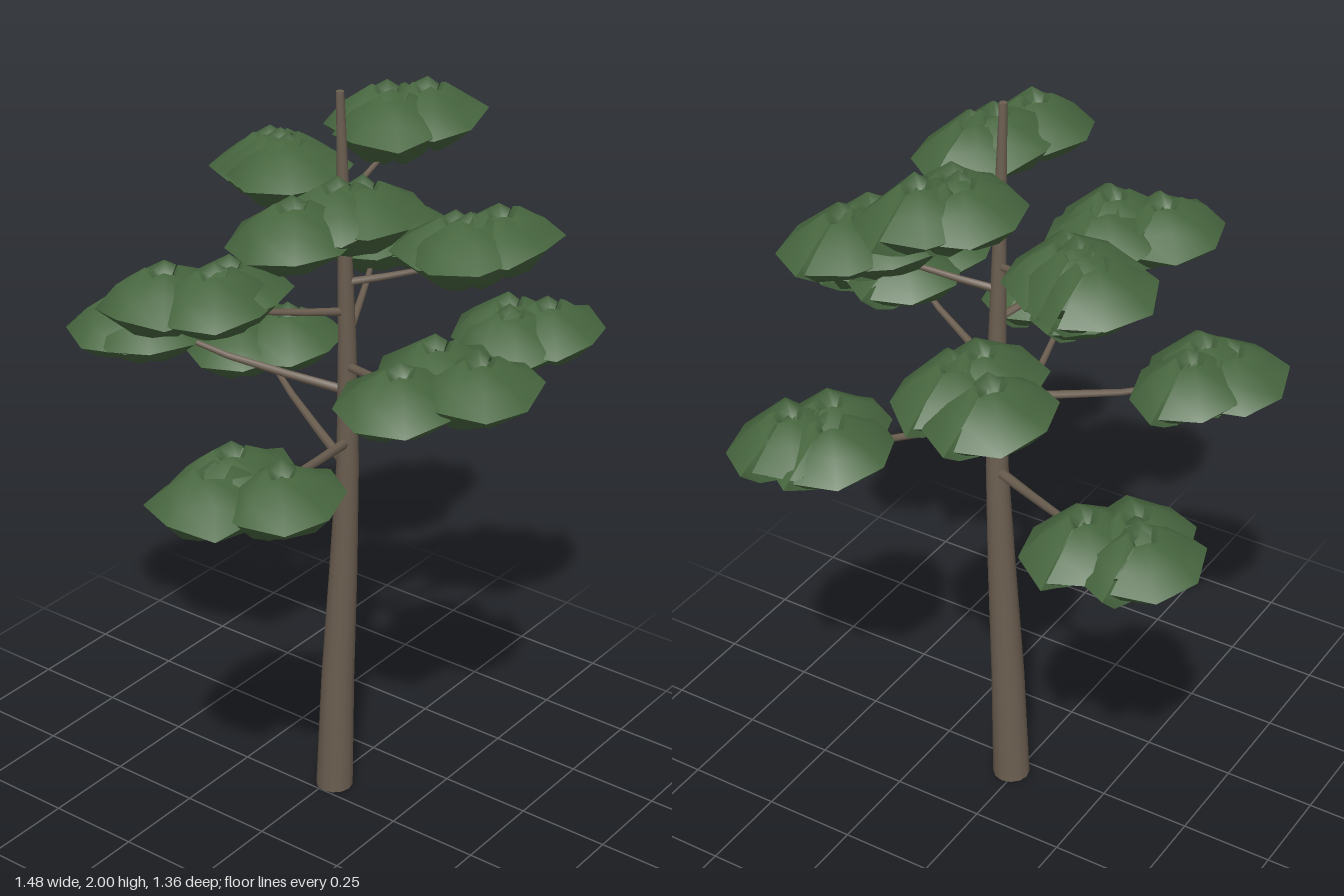
import * as THREE from 'three';

const bark = new THREE.MeshStandardMaterial({ color: 0x6b5e50 });
bark.name = 'bark';
const needles = new THREE.MeshStandardMaterial({ color: 0x47663f, side: THREE.DoubleSide });
needles.name = 'needle green';

let seed = 11;
const rand = () => (seed = (seed * 16807) % 2147483647) / 2147483647;
const jitter = (a) => (rand() * 2 - 1) * a;

// Centre line of the gently leaning trunk: [x, y, z, radius]
const TRUNK = [
  [0.05, 0, 0.015, 0.05], [0.05, 0.35, 0.025, 0.044], [0.052, 0.68, 0.04, 0.037],
  [0.048, 1, 0.055, 0.029], [0.036, 1.35, 0.06, 0.023], [0.022, 1.7, 0.058, 0.016], [0.01, 2, 0.055, 0.01],
];

// Clumps from bottom to top: height, then the x, z of each tuft
const CLUMPS = [
  { y: 1.105, tufts: [[0.27, -0.47], [0.34, -0.53], [0.36, -0.38]] },
  { y: 1.18, tufts: [[-0.57, 0.13], [-0.48, 0.26], [-0.48, 0.11]] },
  { y: 1.255, tufts: [[0.51, 0.23], [0.44, 0.28], [0.54, 0.33]] },
  { y: 1.325, tufts: [[-0.17, -0.48], [-0.165, -0.41], [-0.07, -0.42]] },
  { y: 1.395, tufts: [[-0.24, 0.42], [-0.08, 0.41], [-0.1, 0.545]] },
  { y: 1.47, tufts: [[0.46, -0.19], [0.43, -0.07], [0.36, -0.1]] },
  { y: 1.545, tufts: [[-0.38, -0.17], [-0.27, -0.06], [-0.34, -0.05]] },
  { y: 1.625, tufts: [[0.14, 0.31], [0.13, 0.36], [0.22, 0.38]] },
  { y: 1.69, tufts: [[0.19, -0.3], [0.15, -0.21], [0.17, -0.25]] },
  { y: 1.77, tufts: [[-0.32, 0.17], [-0.13, 0.23], [-0.19, 0.2]] },
  { y: 1.845, tufts: [[0.24, 0.045], [0.28, 0.0], [0.34, 0.08]] },
];

// Tapered round limb through rows of [x, y, z, radius], capped at both ends
function limb(rows, sides) {
  const pts = rows.map((r) => new THREE.Vector3(r[0], r[1], r[2]));
  const pos = [], index = [];
  const up = new THREE.Vector3(0, 1, 0), side = new THREE.Vector3(1, 0, 0);
  const steep = Math.abs(pts.at(-1).clone().sub(pts[0]).normalize().y) > 0.9;
  rows.forEach((row, i) => {
    const dir = pts[Math.min(i + 1, pts.length - 1)].clone().sub(pts[Math.max(i - 1, 0)]).normalize();
    if (steep) dir.copy(up);
    const u = new THREE.Vector3().crossVectors(steep ? side : up, dir).normalize();
    const v = new THREE.Vector3().crossVectors(dir, u);
    for (let j = 0; j < sides; j++) {
      const a = (j / sides) * Math.PI * 2;
      const p = pts[i].clone().addScaledVector(u, Math.cos(a) * row[3]).addScaledVector(v, Math.sin(a) * row[3]);
      pos.push(p.x, p.y, p.z);
      if (i < rows.length - 1) {
        const k = i * sides + j, n = i * sides + ((j + 1) % sides);
        index.push(k, n, k + sides, n, n + sides, k + sides);
      }
    }
  });
  // Separate cap vertices keep the end edges sharp
  for (const end of [0, rows.length - 1]) {
    const base = pos.length / 3;
    for (let j = 0; j < sides; j++) pos.push(...pos.slice((end * sides + j) * 3, (end * sides + j) * 3 + 3));
    for (let j = 1; j < sides - 1; j++) index.push(base, base + (end ? j : j + 1), base + (end ? j + 1 : j));
  }
  const g = new THREE.BufferGeometry();
  g.setAttribute('position', new THREE.Float32BufferAttribute(pos, 3));
  g.setIndex(index);
  g.computeVertexNormals();
  return g;
}

// Rim outline of a tuft, with an open step where it meets itself on the +x side
const RIM = [1.1, 1.0, 0.93, 1.06, 0.98, 1.0, 1.0, 1.02, 0.92];
const UPPER = [[0.022, 0.05], [0.046, 0.08], [0.115, 0.042], [0.175, 0]];
const LOWER = [[0.175, 0], [0.115, -0.042], [0.05, -0.076], [0.022, -0.08]];

// Flattened, ragged double cone, open at its tips
function tuft() {
  const cols = RIM.length, pos = [], index = [];
  const rim = RIM.map((r) => ({ r: r + jitter(0.06), y: jitter(0.012) }));
  for (const shell of [UPPER, LOWER]) {
    const base = pos.length / 3;
    shell.forEach(([r, y], i) => {
      for (let j = 0; j < cols; j++) {
        const a = (j / (cols - 1)) * Math.PI * 2;
        const onRim = r > 0.17;
        const k = r * (onRim ? rim[j].r : rim[j].r + jitter(0.08));
        const ragged = onRim ? rim[j].y : (j % 2 ? 0.007 : -0.007) + jitter(0.004);
        pos.push(Math.cos(a) * k, y + ragged, Math.sin(a) * k * 0.84);
        if (i < shell.length - 1 && j < cols - 1) {
          const p = base + i * cols + j;
          index.push(p, p + 1, p + cols, p + 1, p + cols + 1, p + cols);
        }
      }
    });
  }
  const g = new THREE.BufferGeometry();
  g.setAttribute('position', new THREE.Float32BufferAttribute(pos, 3));
  g.setIndex(index);
  g.computeVertexNormals();
  return g;
}

// Trunk centre at a height
function trunkAt(y) {
  const i = Math.max(1, TRUNK.findIndex((r) => r[1] >= y));
  const a = TRUNK[i - 1], b = TRUNK[i], t = (y - a[1]) / (b[1] - a[1]);
  return a.map((n, k) => n + (b[k] - n) * t);
}

export function createModel() {
  const tree = new THREE.Group();
  tree.name = 'pineTree';
  const add = (parent, geometry, material, name) => {
    const mesh = new THREE.Mesh(geometry, material);
    mesh.name = name;
    parent.add(mesh);
    return mesh;
  };

  add(tree, limb(TRUNK, 12), bark, 'trunk');

  CLUMPS.forEach(({ y, tufts }, n) => {
    const clump = new THREE.Group();
    clump.name = 'bough' + (n + 1);
    tree.add(clump);

    // Branch rising from the trunk into the middle of the clump
    const [x0, y0, z0] = trunkAt(y - 0.12);
    const cx = tufts.reduce((s, t) => s + t[0], 0) / tufts.length;
    const cz = tufts.reduce((s, t) => s + t[1], 0) / tufts.length;
    const size = 0.014 - n * 0.0005;
    const rows = [[0, 0, 1], [0.3, 0.2, 0.85], [0.6, 0.43, 0.7], [1, 0.95, 0.4]].map(([t, rise, r]) =>
      [x0 + (cx - x0) * t, y0 + (y - y0) * rise, z0 + (cz - z0) * t, size * r]);
    add(clump, limb(rows, 7), bark, 'branch');

    // Needle tufts
    tufts.forEach(([x, z], i) => {
      const mesh = add(clump, tuft(), needles, 'needleTuft' + (i + 1));
      mesh.position.set(x, y + (i - 1) * 0.005, z);
    });
  });
  return tree;
}
